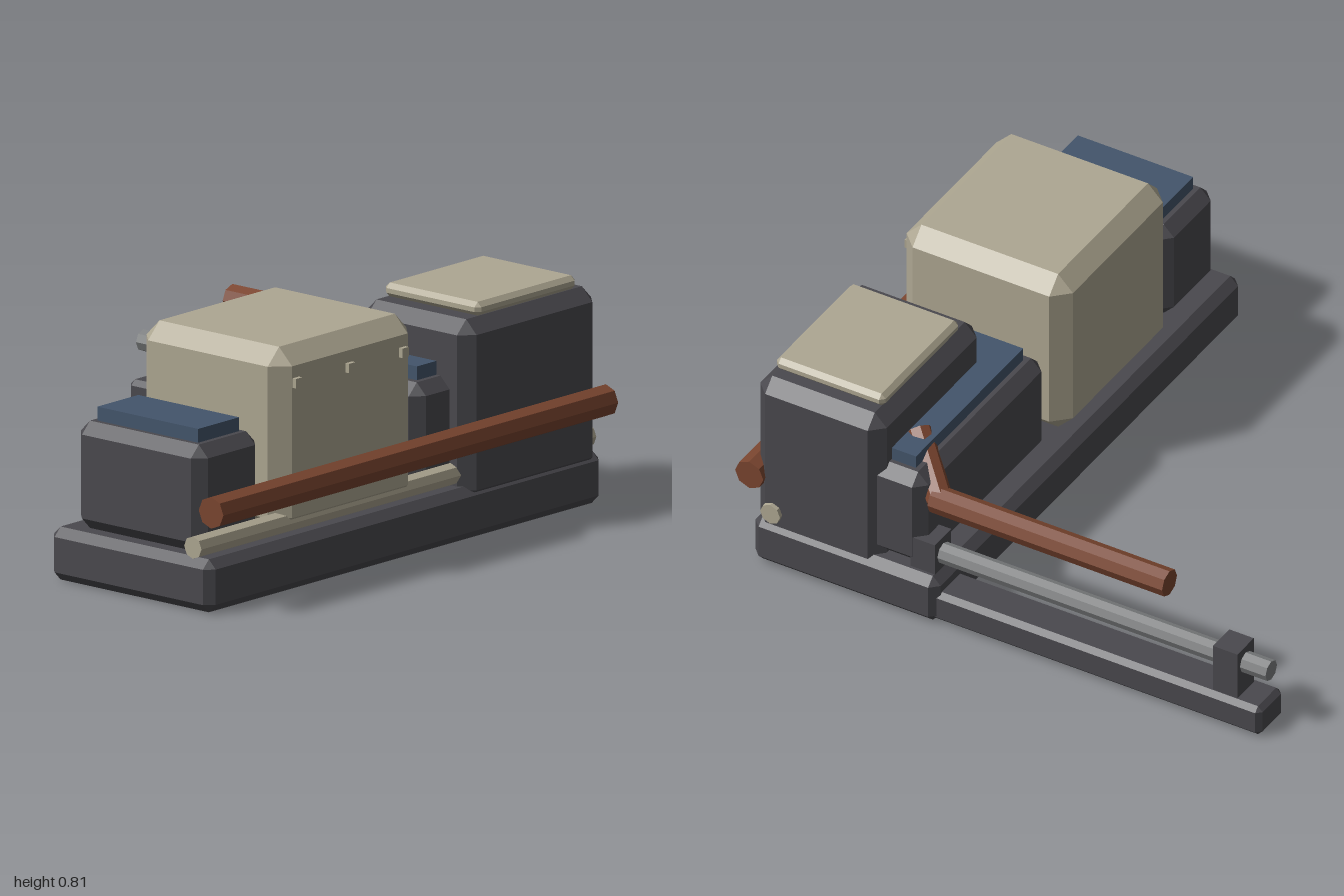
import * as THREE from 'three';
import { ConvexGeometry } from 'three/addons/geometries/ConvexGeometry.js';

const material = (name, color) => {
  const m = new THREE.MeshStandardMaterial({ color });
  m.name = name;
  return m;
};

export function createModel() {
  const charcoal = material('charcoal', 0x4a494e);
  const cream = material('cream', 0xaea792);
  const copper = material('copper brown', 0x7a452f);
  const blue = material('slate blue', 0x43556b);
  const steel = material('steel grey', 0x7f8182);
  const model = new THREE.Group();
  model.name = 'machineSkid';

  const add = (name, geometry, mat) => {
    const mesh = new THREE.Mesh(geometry, mat);
    mesh.name = name;
    model.add(mesh);
    return mesh;
  };

  // Box given by its limits on each axis, with every edge cut by a flat chamfer c
  const block = (name, mat, [x0, x1], [y0, y1], [z0, z1], c = 0) => {
    const half = [(x1 - x0) / 2, (y1 - y0) / 2, (z1 - z0) / 2];
    let geometry;
    if (c > 0) {
      const points = [];
      for (const sx of [-1, 1]) for (const sy of [-1, 1]) for (const sz of [-1, 1]) {
        for (let face = 0; face < 3; face++) {
          const p = [sx, sy, sz].map((s, i) => s * (half[i] - (i === face ? 0 : c)));
          points.push(new THREE.Vector3(...p));
        }
      }
      geometry = new ConvexGeometry(points);
    } else {
      geometry = new THREE.BoxGeometry(...half.map((h) => h * 2));
    }
    geometry.translate((x0 + x1) / 2, (y0 + y1) / 2, (z0 + z1) / 2);
    return add(name, geometry, mat);
  };

  // Eight-sided bar between two points
  const bar = (name, mat, from, to, radius) => {
    const a = new THREE.Vector3(...from);
    const b = new THREE.Vector3(...to);
    const dir = b.clone().sub(a);
    const geometry = new THREE.CylinderGeometry(radius, radius, dir.length(), 8).toNonIndexed();
    geometry.computeVertexNormals();
    const mesh = add(name, geometry, mat);
    mesh.position.copy(a).add(b).multiplyScalar(0.5);
    mesh.quaternion.setFromUnitVectors(new THREE.Vector3(0, 1, 0), dir.normalize());
  };

  // Plinth and side arm
  block('plinth', charcoal, [0.23, 0.94], [0, 0.18], [-0.983, 0.983], 0.03);
  block('armBeam', charcoal, [-1, 0.3], [0.005, 0.12], [-0.963, -0.81], 0.018);

  // Rail held by two brackets above the arm
  bar('armRail', steel, [-1, 0.238, -0.89], [0.35, 0.238, -0.89], 0.037);
  for (const x of [-0.855, 0.305]) {
    block('railBracket', charcoal, [x - 0.047, x + 0.047], [0.11, 0.3], [-0.943, -0.838]);
  }

  // Machine housings, front to back
  block('frontHousing', charcoal, [0.305, 0.862], [0.18, 0.545], [0.628, 0.943], 0.04);
  block('frontLid', blue, [0.362, 0.804], [0.52, 0.592], [0.682, 0.886]);
  block('mainHousing', cream, [0.267, 0.905], [0.18, 0.81], [-0.1, 0.59], 0.057);
  block('rearHousing', charcoal, [0.305, 0.862], [0.18, 0.545], [-0.945, -0.142], 0.04);
  block('rearLid', blue, [0.362, 0.804], [0.52, 0.592], [-0.89, -0.203]);
  block('tower', charcoal, [0.455, 0.94], [0.12, 0.74], [-0.968, -0.3], 0.046);
  block('towerCap', cream, [0.488, 0.905], [0.738, 0.786], [-0.89, -0.393], 0.016);

  // Small studs on the side of the main housing
  for (const z of [0.515, 0.25, -0.015]) {
    block('stud', cream, [0.89, 0.92], [0.68, 0.712], [z - 0.016, z + 0.016]);
  }

  // Long pipes running along the side
  bar('mainPipe', copper, [0.946, 0.35, -0.983], [0.946, 0.35, 0.983], 0.054);
  bar('lowerPipe', cream, [0.866, 0.218, -0.983], [0.866, 0.218, 0.983], 0.038);

  // Arm pipe and the angled piece that joins it to the rear housing
  bar('armPipe', copper, [-0.61, 0.448, -0.89], [0.29, 0.448, -0.89], 0.048);
  bar('armPipeElbow', copper, [0.27, 0.448, -0.89], [0.435, 0.58, -0.75], 0.045);

  return model;
}
